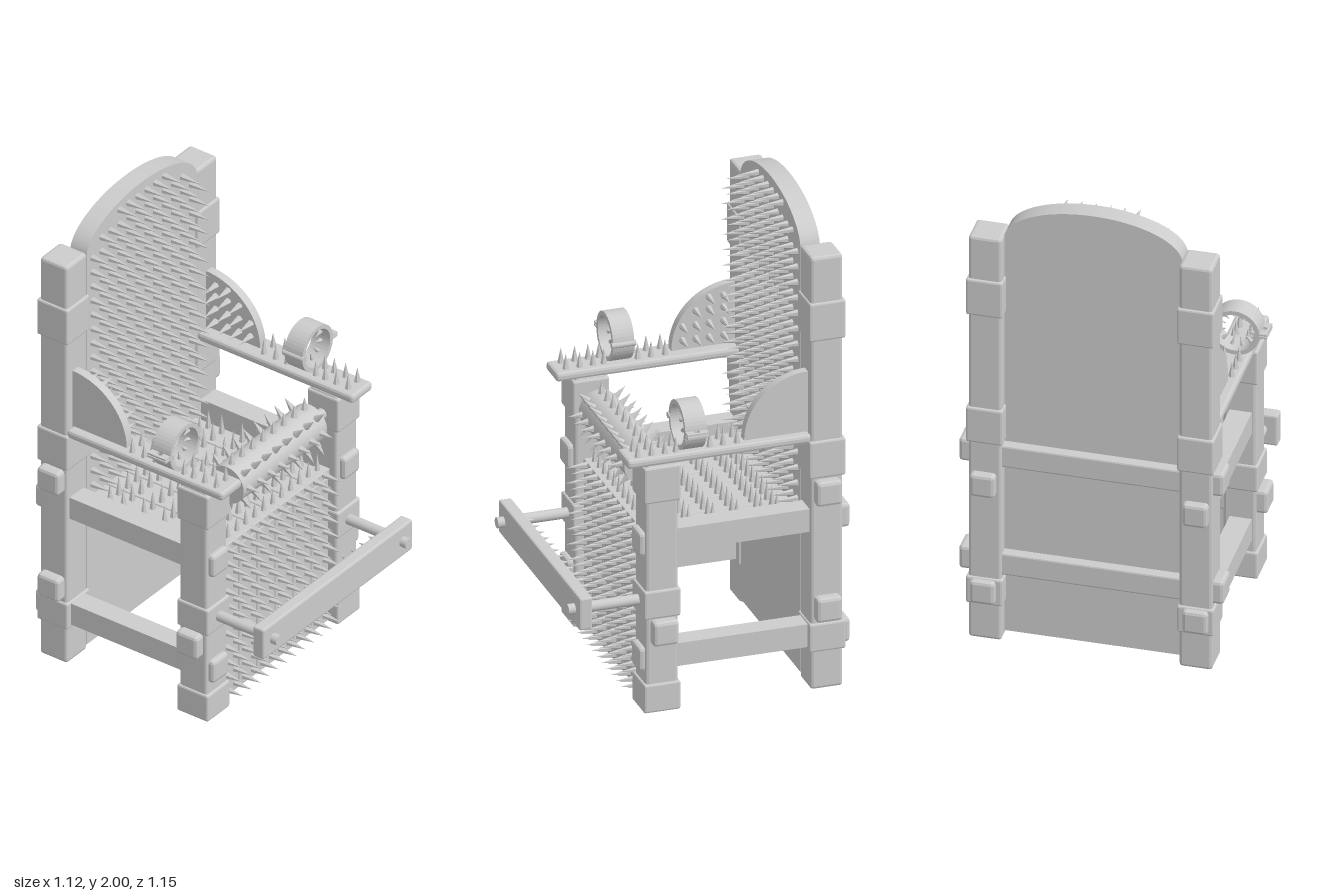
import * as THREE from 'three';
import { mergeGeometries } from 'three/addons/utils/BufferGeometryUtils.js';
import { RoundedBoxGeometry } from 'three/addons/geometries/RoundedBoxGeometry.js';

const mat = new THREE.MeshStandardMaterial({ color: 0xcccccc, flatShading: true });
const smooth = new THREE.MeshStandardMaterial({ color: 0xcccccc });
const UP = new THREE.Vector3(0, 1, 0);

export function createModel() {
  const root = new THREE.Group();

  const add = (name, geo, m = mat) => {
    const mesh = new THREE.Mesh(geo, m);
    mesh.name = name;
    root.add(mesh);
    return mesh;
  };

  // Box given by its limits on each axis, with softened edges
  const box = (name, [x0, x1], [y0, y1], [z0, z1], r = 0.008) => {
    const geo = r ? new RoundedBoxGeometry(x1 - x0, y1 - y0, z1 - z0, 1, r)
      : new THREE.BoxGeometry(x1 - x0, y1 - y0, z1 - z0);
    geo.translate((x0 + x1) / 2, (y0 + y1) / 2, (z0 + z1) / 2);
    return add(name, geo);
  };

  // Set of six-sided spikes; each entry is [x, y, z, direction]
  const spikes = (name, list, length, radius = 0.015) => {
    const cone = new THREE.ConeGeometry(radius, length, 6, 1, true).translate(0, length / 2, 0);
    const parts = list.map(([x, y, z, dir]) => {
      const q = new THREE.Quaternion().setFromUnitVectors(UP, dir);
      return cone.clone().applyQuaternion(q).translate(x, y, z);
    });
    return add(name, mergeGeometries(parts));
  };

  const rod = (name, r, length, axis, [x, y, z]) => {
    const geo = new THREE.CylinderGeometry(r, r, length, 24);
    if (axis === 'x') geo.rotateZ(Math.PI / 2);
    if (axis === 'z') geo.rotateX(Math.PI / 2);
    return add(name, geo.translate(x, y, z), smooth);
  };

  // Limits mirrored to the side s
  const side = (s, a, b) => (s > 0 ? [a, b] : [-b, -a]);
  const right = new THREE.Vector3(1, 0, 0), left = new THREE.Vector3(-1, 0, 0);
  const front = new THREE.Vector3(0, 0, 1), back = new THREE.Vector3(0, 0, -1);

  const plankW = 0.117;
  const planks = [0, 1, 2, 3, 4, 5].map(i => (i - 2.5) * plankW);
  const columns = planks.flatMap(x => [x - 0.029, x + 0.029]);

  // Arched backrest panel
  const archTop = x => 1.84 + 0.16 * Math.sqrt(Math.max(0, 1 - (x / 0.36) ** 2));
  const panel = new THREE.Shape();
  panel.moveTo(-0.36, 0.02);
  panel.lineTo(0.36, 0.02);
  panel.lineTo(0.36, 1.84);
  panel.absellipse(0, 1.84, 0.36, 0.16, 0, Math.PI, false);
  panel.closePath();
  add('backrest', new THREE.ExtrudeGeometry(panel, { depth: 0.08, bevelEnabled: false, curveSegments: 32 })
    .translate(0, 0, -0.49));
  const backSpikes = [];
  for (let y = 1.95; y > 0.74; y -= 0.0665)
    for (const x of columns) if (y < archTop(x) - 0.03) backSpikes.push([x, y, -0.412, front]);
  spikes('backrestSpikes', backSpikes, 0.095);

  // Crossbars between the posts
  box('upperRearCrossbar', [-0.37, 0.37], [0.8, 0.9], [-0.53, -0.45]);
  box('lowerRearCrossbar', [-0.37, 0.37], [0.3, 0.4], [-0.53, -0.45]);
  box('frontCrossbar', [-0.37, 0.37], [0.3, 0.4], [0.145, 0.208]);

  // Seat and front apron, built from planks
  const seatSpikes = [], apronSpikes = [];
  for (const x of planks) {
    const w = [x - plankW / 2 + 0.002, x + plankW / 2 - 0.002];
    box('seatPlank', w, [0.675, 0.71], [-0.41, 0.235], 0.004);
    box('apronPlank', w, [0.015, 0.685], [0.2, 0.24], 0.004);
  }
  box('seatFrontBeam', [-0.36, 0.36], [0.685, 0.722], [0.18, 0.238], 0.004);
  for (const x of columns) {
    for (const z of [-0.325, -0.26, -0.16, -0.06, 0.04, 0.125, 0.205]) seatSpikes.push([x, 0.705, z, UP]);
    for (let i = 0; i < 11; i++) apronSpikes.push([x, 0.05 + i * 0.066, 0.236, front]);
  }
  spikes('seatSpikes', seatSpikes, 0.09);
  spikes('apronSpikes', apronSpikes, 0.088);

  for (const s of [-1, 1]) {
    const inward = s > 0 ? left : right;

    // Posts with their bands
    box('rearPost', side(s, 0.358, 0.492), [0, 1.86], [-0.54, -0.408], 0.012);
    for (const y of [[0.163, 0.285], [0.91, 1.07], [1.5, 1.665]])
      box('rearPostBand', side(s, 0.352, 0.5), y, [-0.55, -0.4]);
    box('frontPost', side(s, 0.358, 0.492), [0, 1.07], [0.14, 0.273], 0.012);
    for (const y of [[0.005, 0.127], [0.407, 0.528], [0.905, 1.06]])
      box('frontPostBand', side(s, 0.352, 0.5), y, [0.132, 0.283]);

    // Side rails with tenons through the posts
    for (const y of [0.18, 0.675]) {
      box('sideRail', side(s, 0.385, 0.475), [y, y + 0.098], [-0.5, 0.25], 0);
      box('railTenon', side(s, 0.378, 0.48), [y - 0.002, y + 0.1], [0.25, 0.298], 0.014);
      box('railTenon', side(s, 0.378, 0.48), [y - 0.002, y + 0.1], [-0.575, -0.52], 0.014);
    }
    // Crossbar tenons on the outer faces
    for (const [y, z] of [[0.8, -0.525], [0.3, -0.525], [0.3, 0.15]])
      box('crossbarTenon', side(s, 0.47, 0.535), [y, y + 0.104], [z, z + 0.105], 0.014);

    // Armrest with two rows of spikes
    box('armrest', side(s, 0.36, 0.493), [1.063, 1.1], [-0.41, 0.348], 0.012);
    const arm = [];
    for (const z of [-0.113, -0.055, 0, 0.14, 0.185, 0.24, 0.297])
      for (const x of [0.4, 0.46]) arm.push([s * x, 1.097, z, UP]);
    spikes('armrestSpikes', arm, 0.068);

    // Rounded wing above the rear of the armrest
    const wing = new THREE.Shape();
    wing.moveTo(-0.41, 1.09);
    wing.lineTo(-0.145, 1.09);
    wing.absellipse(-0.41, 1.1, 0.265, 0.258, 0, Math.PI / 2, false);
    wing.closePath();
    add('armWing', new THREE.ExtrudeGeometry(wing, { depth: 0.036, bevelEnabled: false, curveSegments: 20 })
      .rotateY(-Math.PI / 2).translate(s * 0.436 + 0.018, 0, 0));
    const wingSpikes = [];
    for (const z of [-0.36, -0.3, -0.245, -0.19])
      for (const y of [1.14, 1.2, 1.26, 1.31])
        if (((z + 0.41) / 0.265) ** 2 + ((y - 1.1) / 0.258) ** 2 < 0.88) wingSpikes.push([s * 0.42, y, z, inward]);
    spikes('wingSpikes', wingSpikes, 0.08);

    // Wrist cuff: ring, inner spikes, hinge and clasp plates
    const cx = s * 0.432, cy = 1.2;
    const ring = new THREE.Shape().absarc(0, 0, 0.1, 0, Math.PI * 2);
    ring.holes.push(new THREE.Path().absarc(0, 0, 0.082, 0, Math.PI * 2, true));
    add('wristCuff', new THREE.ExtrudeGeometry(ring, { depth: 0.088, bevelEnabled: false, curveSegments: 20 })
      .translate(cx, cy, 0.037));
    const cuff = [];
    for (let i = 0; i < 12; i++) {
      const a = (i + 0.5) * Math.PI / 6, c = Math.cos(a), n = Math.sin(a);
      cuff.push([cx + 0.084 * c, cy + 0.084 * n, 0.081, new THREE.Vector3(-c, -n, 0)]);
    }
    spikes('cuffSpikes', cuff, 0.04, 0.01);
    rod('cuffHinge', 0.012, 0.1, 'z', [s * 0.336, cy, 0.081]);
    const plate = new THREE.Shape([[-0.024, -0.044], [0.024, -0.044], [0.024, 0.044], [-0.024, 0.044]]
      .map(p => new THREE.Vector2(...p)));
    plate.holes.push(new THREE.Path().absarc(s * 0.002, 0, 0.012, 0, Math.PI * 2, true));
    for (const y of [cy - 0.01, cy + 0.002])
      add('cuffClasp', new THREE.ExtrudeGeometry(plate, { depth: 0.008, bevelEnabled: false })
        .rotateX(-Math.PI / 2).translate(s * 0.538, y, 0.081));

    // Rod carrying the shin board
    rod('shinBoardRod', 0.022, 0.33, 'z', [s * 0.423, 0.467, 0.41]);
  }

  // Shin board with spikes facing the seat
  box('shinBoard', [-0.487, 0.487], [0.397, 0.536], [0.492, 0.546]);
  spikes('shinBoardSpikes', columns.flatMap(x => [0.43, 0.507].map(y => [x, y, 0.495, back])), 0.045, 0.013);

  // Spiked roller across the lap
  const ry = 0.97, rz = 0.205;
  rod('rollerAxle', 0.023, 0.74, 'x', [0, ry, rz]);
  rod('roller', 0.083, 0.545, 'x', [0.002, ry, rz]);
  const rollerSpikes = [];
  for (let i = 0; i < 8; i++)
    for (let k = 0; k < 8; k++) {
      const a = k * Math.PI / 4, d = new THREE.Vector3(0, Math.cos(a), Math.sin(a));
      rollerSpikes.push([(i - 3.5) * 0.068, ry + d.y * 0.078, rz + d.z * 0.078, d]);
    }
  spikes('rollerSpikes', rollerSpikes, 0.06, 0.016);

  return root;
}
